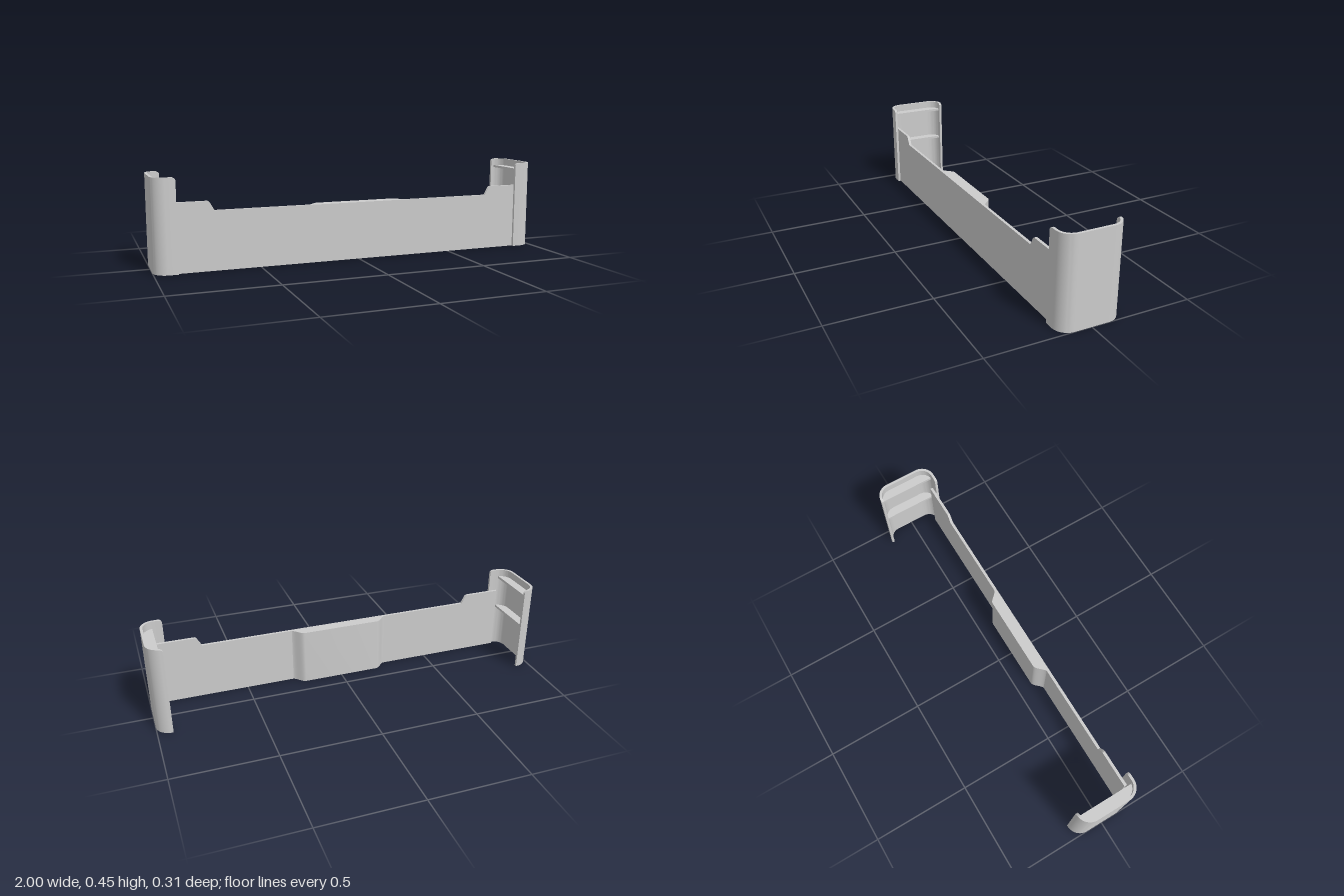
import * as THREE from 'three';
import { toCreasedNormals } from 'three/addons/utils/BufferGeometryUtils.js';

const HALF_DEPTH = 0.155, RADIUS = 0.07, WALL = 0.013, CAP_HEIGHT = 0.447;

// Plan curve of an end cap, at a given inset from its outer face
function capPath(inset) {
  const points = [];
  const r = RADIUS - inset, cx = 1 - RADIUS, cz = HALF_DEPTH - RADIUS;
  // front flange, with extra stations where its top corner is rounded
  for (const x of [0.89, 0.892, 0.896, 0.902, 0.91]) points.push([x, HALF_DEPTH - inset]);
  for (const side of [1, -1]) {
    for (let i = 0; i <= 12; i++) {
      const a = (side > 0 ? 1 - i / 12 : -i / 12) * Math.PI / 2;
      points.push([cx + r * Math.cos(a), side * cz + r * Math.sin(a)]);
    }
  }
  points.push([0.925, -HALF_DEPTH + inset]);
  return points;
}

// Curved C-shaped wall built from rectangular cross-sections
function capWallGeometry() {
  const outer = capPath(0), inner = capPath(WALL), last = outer.length - 1;
  const drops = { 0: 0.015, 1: 0.009, 2: 0.004, 3: 0.001, [last]: 0.012, [last - 1]: 0.006, [last - 2]: 0.001 };
  const rings = outer.map(([x, z], i) => {
    const top = CAP_HEIGHT - (drops[i] || 0), [u, w] = inner[i];
    return [[x, 0, z], [x, top, z], [u, top, w], [u, 0, w]];
  });
  const v = [];
  const quad = (a, b, c, d) => v.push(...a, ...b, ...c, ...a, ...c, ...d);
  for (let i = 0; i < last; i++) {
    for (let k = 0; k < 4; k++) {
      const n = (k + 1) % 4;
      quad(rings[i][k], rings[i + 1][k], rings[i + 1][n], rings[i][n]);
    }
  }
  quad(...rings[0]);
  quad(...[...rings[last]].reverse());
  const g = new THREE.BufferGeometry();
  g.setAttribute('position', new THREE.Float32BufferAttribute(v, 3));
  return toCreasedNormals(g, 0.6);
}

// Solid from a plan outline of [x, z] points, between two heights
function planSolid(points, y0, y1) {
  const shape = new THREE.Shape(points.map(([x, z]) => new THREE.Vector2(x, z)));
  const g = new THREE.ExtrudeGeometry(shape, { depth: y1 - y0, bevelEnabled: false });
  g.rotateX(Math.PI / 2).translate(0, y1, 0);
  return toCreasedNormals(g, 0.6);
}

// Mirrored copy across x = 0, with the corner order restored
function mirrorX(geometry) {
  const g = geometry.clone();
  for (const name of ['position', 'normal']) {
    const a = g.attributes[name];
    for (let i = 0; i < a.count; i += 3) {
      const p = [0, 1, 2].map((k) => new THREE.Vector3().fromBufferAttribute(a, i + k));
      [p[0], p[2], p[1]].forEach((q, k) => a.setXYZ(i + k, -q.x, q.y, q.z));
    }
  }
  return g;
}

export function createModel() {
  const model = new THREE.Group();
  model.name = 'bracket';
  const material = new THREE.MeshStandardMaterial({ color: 0xcccccc });
  const add = (parent, name, geometry) => {
    const mesh = new THREE.Mesh(geometry, material);
    mesh.name = name;
    parent.add(mesh);
  };

  // Long front plate with raised ends
  const right = [[0.715, 0.285], [0.738, 0.325], [0.746, 0.33], [0.93, 0.33], [0.93, 0]];
  const outline = [...right, ...right.map(([x, y]) => [-x, y]).reverse()];
  const plate = new THREE.ExtrudeGeometry(
    new THREE.Shape(outline.map(([x, y]) => new THREE.Vector2(x, y))),
    { depth: 0.014, bevelEnabled: false });
  add(model, 'frontPlate', toCreasedNormals(plate.translate(0, 0, 0.126), 0.5));

  // Thickened pad behind the middle, with soft S-shaped flanks
  const flank = [];
  for (let i = 0; i <= 10; i++) {
    const t = i / 10, s = t * t * (3 - 2 * t);
    flank.push([0.262 - 0.064 * t, 0.128 - 0.047 * s]);
  }
  const pad = [[0.262, 0.132], ...flank, ...flank.map(([x, z]) => [-x, z]).reverse(), [-0.262, 0.132]];
  add(model, 'rearPad', planSolid(pad, 0, 0.285));

  // End caps: curved wall plus two inner shelves, mirrored
  const wall = capWallGeometry();
  const mid = capPath(WALL * 0.6).filter(([x]) => x > 0.94);
  const rim = [[0.94, mid[0][1]], ...mid, [0.94, mid[mid.length - 1][1]]];
  const shelves = [0.235, 0.41].map((y) => planSolid(rim, y - 0.012, y));
  for (const side of ['left', 'right']) {
    const place = (g) => (side === 'left' ? g : mirrorX(g));
    const cap = new THREE.Group();
    cap.name = side + 'EndCap';
    add(cap, 'capWall', place(wall));
    shelves.forEach((g, i) => add(cap, i ? 'upperShelf' : 'lowerShelf', place(g)));
    model.add(cap);
  }
  return model;
}
